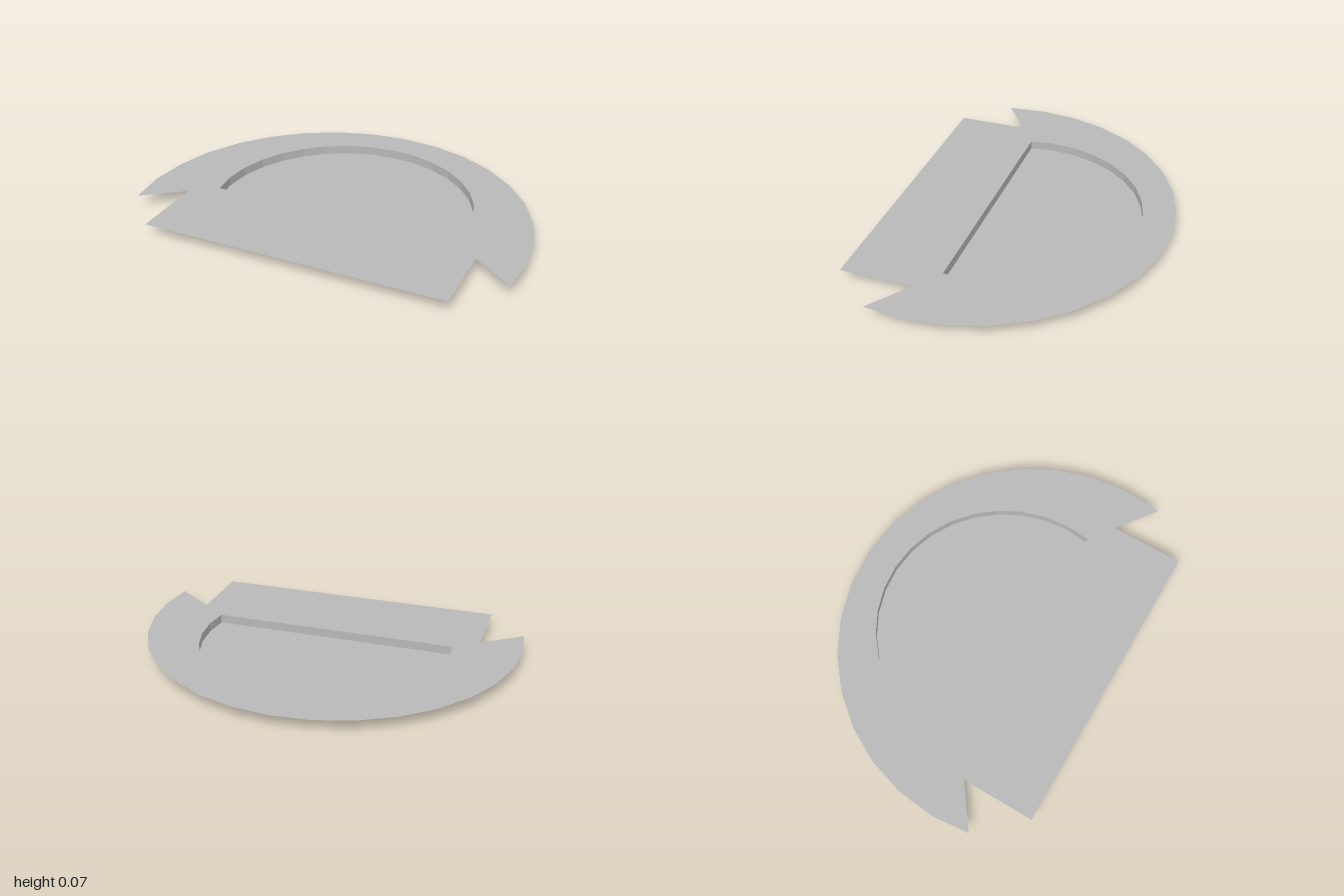
import * as THREE from 'three';

const TOP = 0.067;   // height of the flat sheet
const FLOOR = 0.021; // height of the recess floor inside the tray

// Faceted horseshoe arc, 11.25 degrees past the half circle at both ends.
// Points are [x, z], running from the +x end round the back to the -x end.
function arc(radius, centreZ) {
  const points = [];
  for (let i = 9; i >= -9; i--) {
    const a = (i * Math.PI) / 16;
    points.push([radius * Math.sin(a), centreZ - radius * Math.cos(a)]);
  }
  return points;
}

const toVectors = (points) => points.map(([x, z]) => new THREE.Vector2(x, -z));

// Flat horizontal face at height y, optionally with an opening
function plate(outline, y, hole) {
  const shape = new THREE.Shape(toVectors(outline));
  if (hole) shape.holes.push(new THREE.Path(toVectors(hole)));
  return new THREE.ShapeGeometry(shape).rotateX(-Math.PI / 2).translate(0, y, 0);
}

// Flat-faced vertical wall following a closed outline, facing outwards
function wall(outline, y0, y1) {
  const positions = [];
  outline.forEach(([ax, az], i) => {
    const [bx, bz] = outline[(i + 1) % outline.length];
    positions.push(ax, y0, az, bx, y0, bz, bx, y1, bz);
    positions.push(ax, y0, az, bx, y1, bz, ax, y1, az);
  });
  const geometry = new THREE.BufferGeometry();
  geometry.setAttribute('position', new THREE.Float32BufferAttribute(positions, 3));
  geometry.computeVertexNormals();
  return geometry;
}

export function createModel() {
  const group = new THREE.Group();
  group.name = 'recessedPlate';
  const grey = new THREE.MeshStandardMaterial({ color: 0xb8b8b8, side: THREE.DoubleSide });
  grey.name = 'grey';

  const add = (name, geometry) => {
    const mesh = new THREE.Mesh(geometry, grey);
    mesh.name = name;
    group.add(mesh);
  };

  // Round back with pointed ends, notches and a square front
  const sheet = [
    ...arc(1, 0.288),
    [-0.775, 0.333], [-0.775, 0.707], [0.775, 0.707], [0.775, 0.333],
  ];
  const opening = arc(0.657, 0.11);
  const shell = arc(0.684, 0.129);

  add('sheet', plate(sheet, TOP, opening));

  // Recess seen from above
  add('recessWall', wall([...opening].reverse(), FLOOR, TOP));
  add('recessFloor', plate(opening, FLOOR));

  // Tray shell hanging below the sheet
  add('trayWall', wall(shell, 0, TOP));
  add('trayBottom', plate(shell, 0).rotateZ(Math.PI));

  return group;
}
